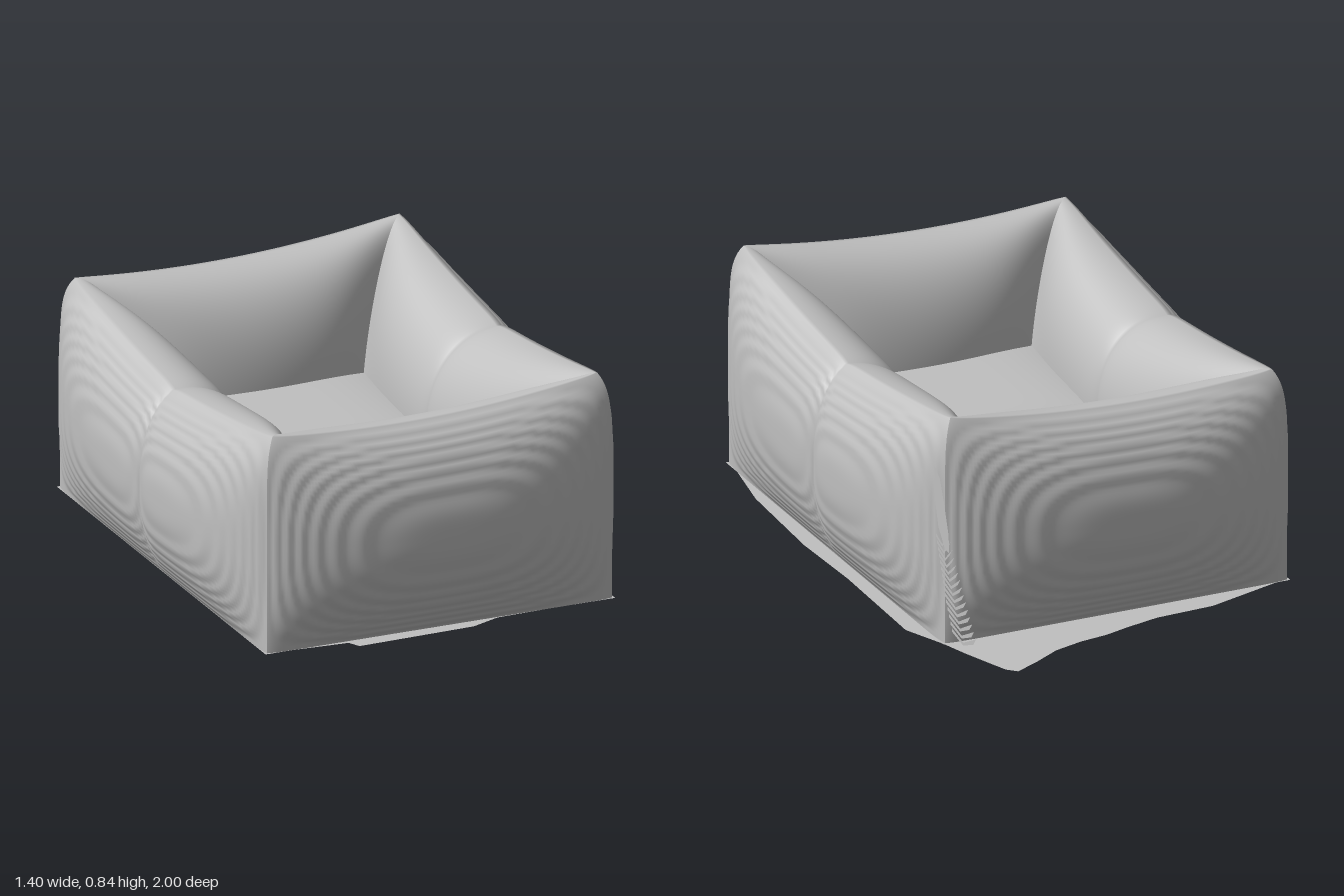
import * as THREE from 'three';
import { ParametricGeometry } from 'three/addons/geometries/ParametricGeometry.js';

const CZ = 0.09;      // centre of the tub along z
const FLOOR = 0.41;   // height of the inner floor
const BASE = 0.09;    // height of the lower seam
const { lerp, smoothstep } = THREE.MathUtils;

// Turns a smooth bulge (0..1) into soft nested steps
function terrace(b, n = 7) {
  const q = b * n, f = Math.floor(q);
  return lerp(b, (f + smoothstep(q - f, 0.3, 1)) / n, 0.6);
}

// One inflated wall, drawn facing +z and turned in quarter steps
function wallGeometry(side, turn) {
  const p = side
    ? { depth: 0.605, half: 0.805, bulge: 0.095, power: 4, top: 0.728, rise: 1.3, floorOut: 0.35, floorHalf: 0.57 }
    : { depth: 0.805, half: 0.605, bulge: 0.105, power: 2.8, top: 0.785, rise: 2, floorOut: 0.57, floorHalf: 0.35 };
  const split = 0.55;
  const point = (u, v, target) => {
    const s = u * 2 - 1, a = Math.abs(s);
    const crease = side ? Math.exp(-a / 0.05) : 0;
    const top = lerp(p.top, 0.825, a ** p.rise) - 0.012 * crease;
    // rounding of the rim and of the upright corners
    const inset = t => 0.035 * t ** 14 + 0.008 * a ** 16;
    let along, y, out, lift;
    if (v <= split) {
      // outer face, from the lower seam to the rim
      const t = v / split, h = Math.abs(t * 2 - 1);
      const b = (1 - a ** p.power) * (1 - h ** 2.4) * (1 - 0.2 * crease);
      along = s * (p.half - inset(t));
      out = p.depth - inset(t) + p.bulge * terrace(b);
      y = lerp(BASE, top, t);
      lift = t;
    } else {
      // full rounded roll, from the rim down to the floor
      const w = (v - split) / (1 - split);
      const sin = Math.sin(w * Math.PI / 2) ** 0.85;
      const cos = Math.max(0, Math.cos(w * Math.PI / 2)) ** 0.85;
      const f = lerp(sin, sin ** 1.2 * lerp(0.65, 1, w * w), a ** 6);
      along = s * lerp(p.half - inset(1), p.floorHalf, f);
      out = lerp(p.depth - inset(1), p.floorOut, f) - 0.052 * (1 - a * a) * sin * (1 - 0.2 * crease);
      y = lerp(FLOOR - 0.03, top, cos);
      lift = 1 - w;
    }
    const [x, z] = [[along, out], [out, -along], [-along, -out], [-out, along]][turn];
    target.set(x, y + 0.035 * x * lift, z + CZ);
  };
  return new ParametricGeometry(point, 120, 100);
}

export function createModel() {
  const group = new THREE.Group();
  const grey = new THREE.MeshStandardMaterial({ color: 0xc0c0c0, side: THREE.DoubleSide });
  grey.name = 'pale grey';
  const add = (name, geometry, parent = group) => {
    const mesh = new THREE.Mesh(geometry, grey);
    mesh.name = name;
    parent.add(mesh);
    return mesh;
  };

  // Four inflated walls
  ['frontWall', 'leftWall', 'backWall', 'rightWall'].forEach((name, i) =>
    add(name, wallGeometry(i % 2 === 1, i)));

  // Inner floor: two shallow cushions with a seam across the middle
  add('innerFloor', new ParametricGeometry((u, v, target) => {
    const s = u * 2 - 1, t = 1 - v * 2;
    const cell = Math.abs(Math.abs(t) * 2 - 1);
    const puff = 0.035 * (1 - s ** 4) * (1 - cell ** 4);
    target.set(s * 0.42, FLOOR - 0.015 + puff, CZ + t * 0.64);
  }, 24, 60));

  // Sagging underside
  add('underside', new ParametricGeometry((u, v, target) => {
    const s = u * 2 - 1, t = v * 2 - 1;
    const sag = (1 - s ** 4) * (1 - Math.abs(t) ** 3.5);
    target.set(s * 0.605, BASE * (1 - sag), CZ + t * 0.805);
  }, 32, 32));

  // Thin ground sheet with a loose flap behind the back wall
  const outline = [
    [-0.58, -0.7], [-0.3, -0.79], [-0.1, -0.8], [0.02, -0.83], [0.1, -0.855], [0.2, -0.87],
    [0.3, -0.9], [0.4, -0.96], [0.48, -1], [0.51, -0.97], [0.57, -0.8], [0.6, -0.7], [0.66, -0.55],
    [0.65, -0.1], [0.66, 0.2], [0.64, 0.6], [0.59, 0.88],
    [0.2, 0.89], [0.1, 0.93], [-0.3, 0.94], [-0.32, 0.9], [-0.58, 0.88],
  ].map(([x, z]) => new THREE.Vector2(x, -z));
  const sheet = add('groundSheet', new THREE.ShapeGeometry(new THREE.Shape(outline)));
  sheet.rotation.x = -Math.PI / 2;
  sheet.position.y = BASE - 0.004;

  // Loose fin at the back left corner: one solid crescent over thin curved slivers
  const fin = new THREE.Group();
  fin.name = 'cornerFin';
  group.add(fin);
  const finPiece = (name, points, x) => {
    const shape = new THREE.Shape(points.map(([z, y]) => new THREE.Vector2(-z, y)));
    const mesh = add(name, new THREE.ShapeGeometry(shape).rotateY(Math.PI / 2), fin);
    mesh.position.x = x;
  };
  finPiece('finCrescent', [[-0.73, 0.72], [-0.77, 0.69], [-0.8, 0.62], [-0.835, 0.52],
    [-0.84, 0.46], [-0.81, 0.46], [-0.76, 0.52], [-0.73, 0.62]], 0.645);
  for (let i = 0; i < 15; i++) {
    const y = 0.13 + i * 0.025;
    const end = -0.89 + i * 0.004, start = -0.7 - i * 0.003;
    const mid = (start + end) / 2;
    finPiece('finSliver', [[start, y + 0.012], [mid, y - 0.008], [end, y + 0.04],
      [end + 0.02, y + 0.014], [mid, y - 0.018], [start, y]], 0.575 + i * 0.005);
  }
  return group;
}
